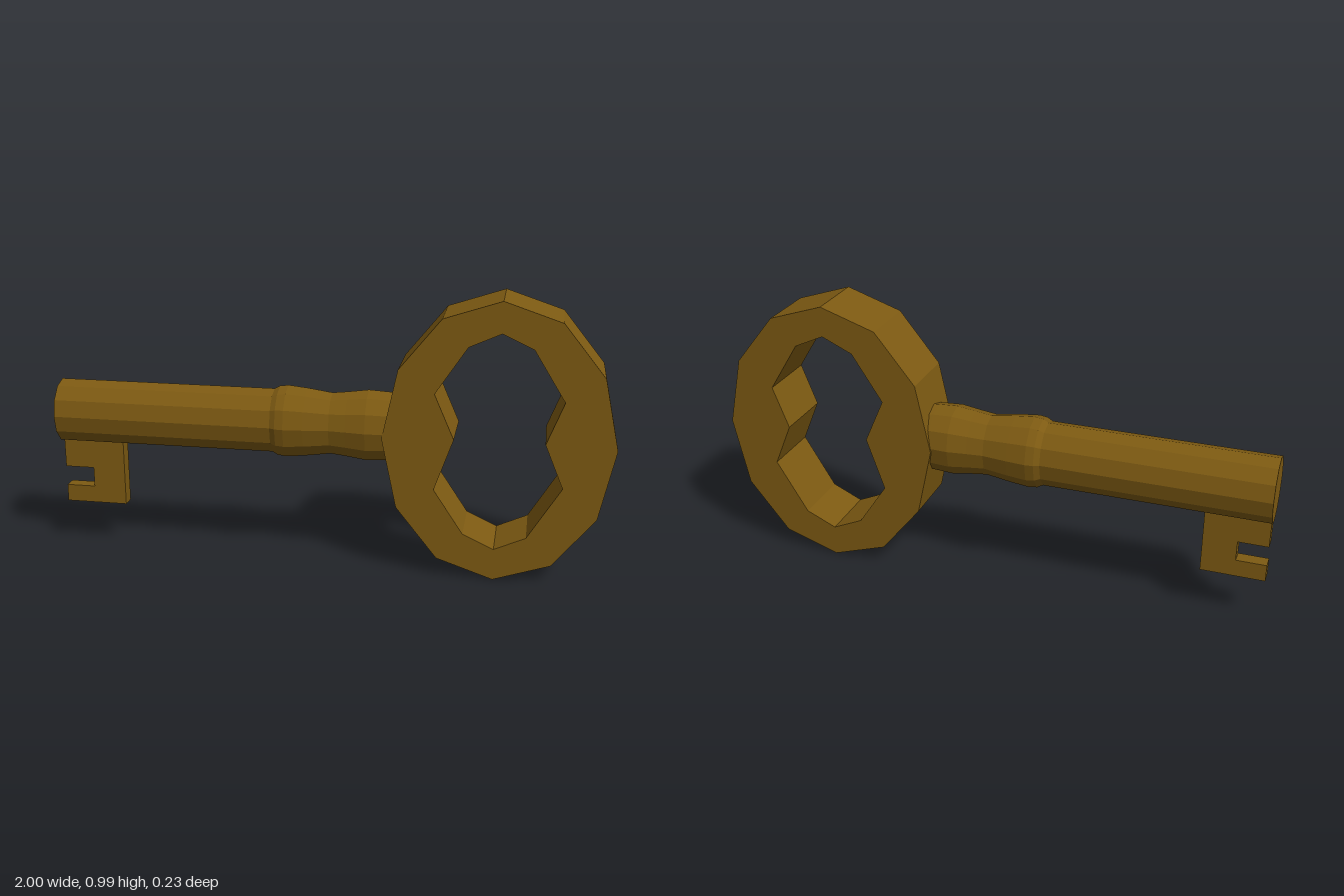
import * as THREE from 'three';

export function createModel() {
  const group = new THREE.Group();
  group.name = 'key';
  const material = new THREE.MeshStandardMaterial({ color: 0x7d5a12, flatShading: true });
  const points = (list) => list.map(([x, y]) => new THREE.Vector2(x, y));

  // Flat plate extruded symmetrically about z = 0
  function addPlate(name, shape, depth) {
    const geometry = new THREE.ExtrudeGeometry(shape, { depth, bevelEnabled: false });
    geometry.translate(0, 0, -depth / 2);
    const mesh = new THREE.Mesh(geometry, material);
    mesh.name = name;
    group.add(mesh);
    return mesh;
  }

  // Handle ring: twelve-sided oval with a waisted opening
  const outline = [];
  for (let i = 0; i < 12; i++) {
    const a = (i / 12) * Math.PI * 2;
    outline.push([0.6 + 0.4 * Math.cos(a), 0.498 + 0.497 * Math.sin(a)]);
  }
  const ring = new THREE.Shape(points(outline));
  ring.holes.push(new THREE.Path(points([
    [0.6, 0.885], [0.49, 0.835], [0.38, 0.667], [0.45, 0.508], [0.385, 0.322], [0.49, 0.165],
    [0.6, 0.115], [0.71, 0.165], [0.825, 0.353], [0.76, 0.508], [0.818, 0.658], [0.708, 0.835],
  ])));
  addPlate('handleRing', ring, 0.227);

  // Shaft: turned profile with two collars, [radius, position along x]
  const profile = points([
    [0, -1], [0.118, -1], [0.118, -0.2], [0.129, -0.18], [0.133, -0.15], [0.126, -0.08],
    [0.113, 0.01], [0.12, 0.07], [0.13, 0.14], [0.126, 0.21], [0.122, 0.26], [0, 0.26],
  ]);
  const shaftGeometry = new THREE.LatheGeometry(profile, 12);
  shaftGeometry.rotateZ(-Math.PI / 2);
  shaftGeometry.scale(1, 1, 0.87);
  const shaft = new THREE.Mesh(shaftGeometry, material);
  shaft.name = 'shaft';
  shaft.position.y = 0.511;
  group.add(shaft);

  // Bit: notched tooth below the tip of the shaft
  const bit = new THREE.Shape(points([
    [-0.995, 0.162], [-0.768, 0.162], [-0.768, 0.45], [-0.995, 0.45],
    [-0.995, 0.298], [-0.888, 0.298], [-0.888, 0.225], [-0.995, 0.225],
  ]));
  addPlate('bit', bit, 0.05).position.z = 0.005;

  return group;
}
